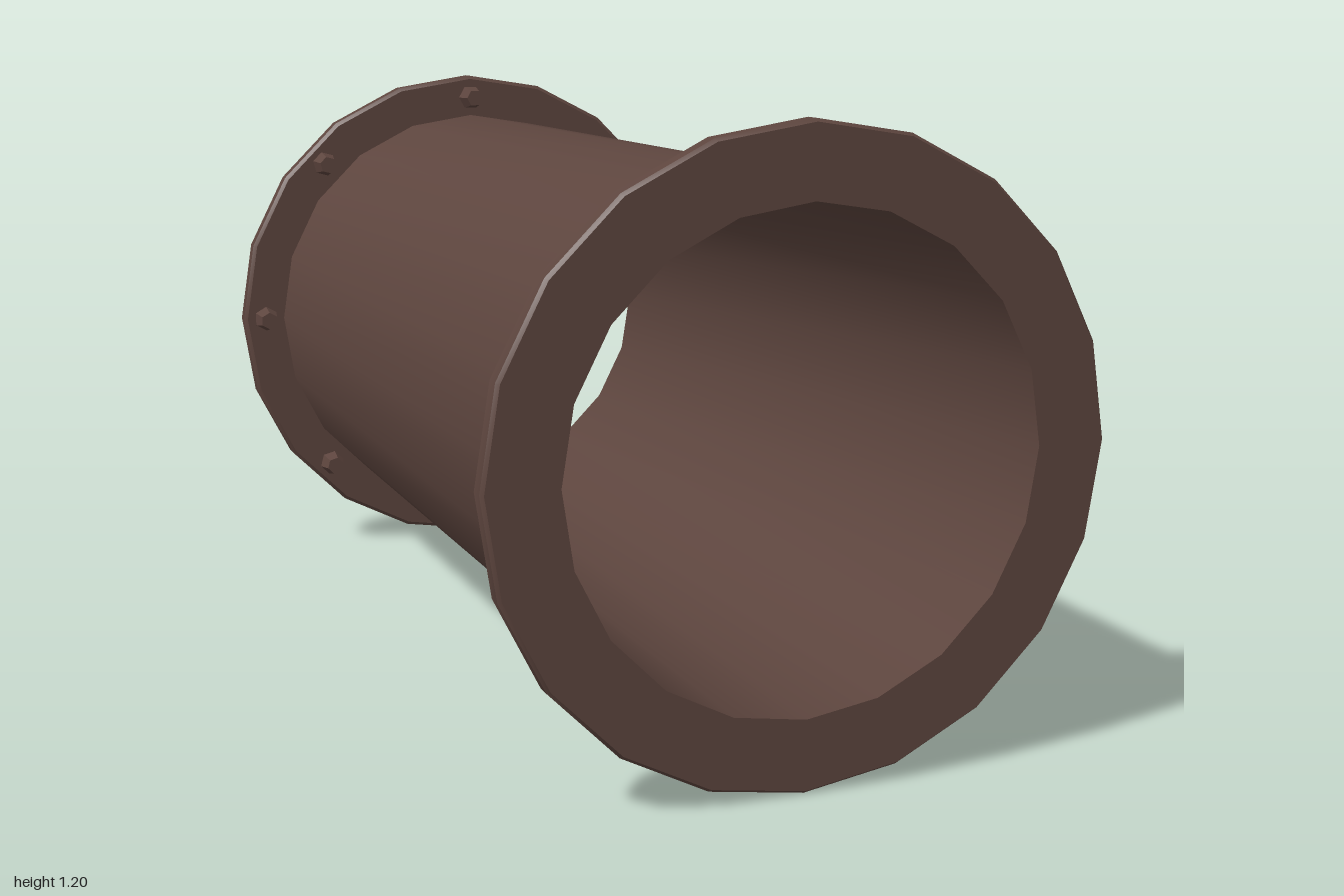
import * as THREE from 'three';
import { toCreasedNormals } from 'three/addons/utils/BufferGeometryUtils.js';

const CENTRE_Y = 0.6;
const SIDES = 20;

// Turn a (radius, z) profile around the z axis
function turned(points) {
  const profile = points.map(([r, z]) => new THREE.Vector2(r, z));
  const geometry = new THREE.LatheGeometry(profile, SIDES);
  geometry.rotateX(Math.PI / 2);
  return toCreasedNormals(geometry, 0.6);
}

export function createModel() {
  const iron = new THREE.MeshStandardMaterial({ color: 0x5d453e });
  iron.name = 'brown iron';

  const model = new THREE.Group();
  model.name = 'flangedPipe';

  const add = (parent, geometry, name) => {
    const mesh = new THREE.Mesh(geometry, iron);
    mesh.name = name;
    parent.add(mesh);
    return mesh;
  };

  // Pipe body, outside and bore
  const pipe = new THREE.Group();
  pipe.name = 'pipe';
  pipe.position.y = CENTRE_Y;
  model.add(pipe);
  add(pipe, turned([[0.5, -0.96], [0.5, 0.96]]), 'outerWall');
  add(pipe, turned([[0.46, 1], [0.46, -1]]), 'innerWall');

  // Flange ring with lightly bevelled rim
  const flangeGeometry = turned([
    [0.495, 0.955], [0.592, 0.955], [0.6, 0.963],
    [0.6, 0.992], [0.594, 1], [0.46, 1],
  ]);

  // Tapered bolt head pointing away from the flange, towards the middle
  const boltGeometry = new THREE.CylinderGeometry(0.031, 0.021, 0.044, 6).toNonIndexed();
  boltGeometry.rotateX(Math.PI / 2);
  boltGeometry.computeVertexNormals();

  // Same bolted end at front and back
  for (const [name, turn] of [['frontEnd', 0], ['backEnd', Math.PI]]) {
    const end = new THREE.Group();
    end.name = name;
    end.rotation.y = turn;
    add(end, flangeGeometry, 'flange');
    for (let i = 0; i < 8; i++) {
      const a = (i * Math.PI) / 4;
      const bolt = add(end, boltGeometry, 'bolt');
      bolt.position.set(0.545 * Math.cos(a), 0.545 * Math.sin(a), 0.936);
      bolt.rotation.z = a;
    }
    pipe.add(end);
  }

  return model;
}
